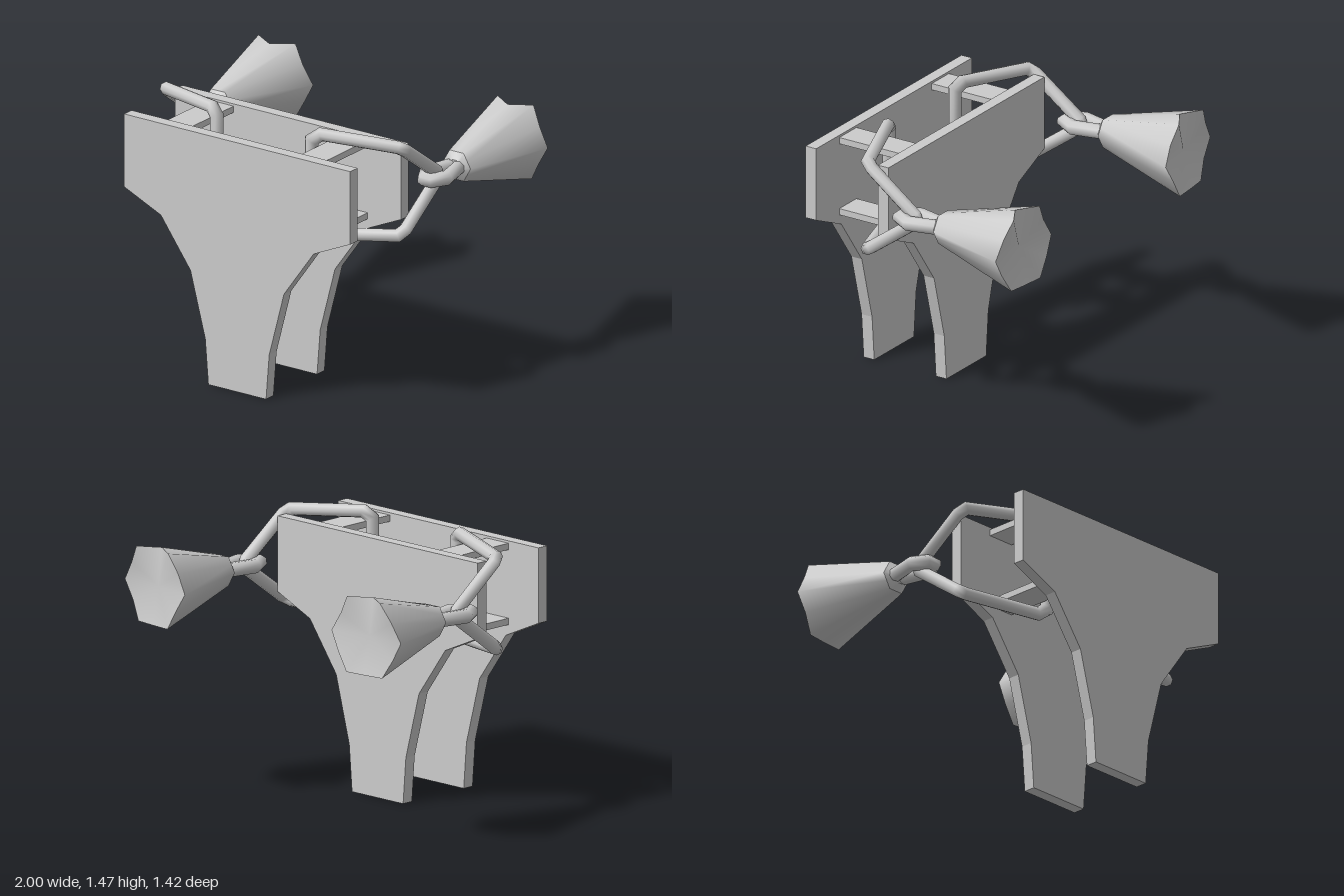
import * as THREE from 'three';

const V = (x, y, z) => new THREE.Vector3(x, y, z);

function indexed(positions, index) {
  const g = new THREE.BufferGeometry();
  g.setAttribute('position', new THREE.Float32BufferAttribute(positions, 3));
  g.setIndex(index);
  g.computeVertexNormals();
  return g;
}

// Joins equal-length rings of points with quads
function skin(rings) {
  const n = rings[0].length, index = [];
  for (let r = 0; r < rings.length - 1; r++) {
    for (let i = 0; i < n; i++) {
      const a = r * n + i, b = r * n + (i + 1) % n;
      index.push(a, b, a + n, b, b + n, a + n);
    }
  }
  return indexed(rings.flat().flatMap(p => p.toArray()), index);
}

// Rod along a polyline, mitred at each bend
function rod(points, radius, sides) {
  const dirs = points.slice(1).map((p, i) => p.clone().sub(points[i]).normalize());
  const u = V(0.3, 0.2, 1).cross(dirs[0]).normalize();
  const v = dirs[0].clone().cross(u);
  let ring = Array.from({ length: sides }, (_, i) => {
    const a = i / sides * Math.PI * 2;
    return points[0].clone().addScaledVector(u, radius * Math.cos(a)).addScaledVector(v, radius * Math.sin(a));
  });
  const rings = [ring];
  for (let k = 1; k < points.length; k++) {
    const d = dirs[k - 1];
    const n = d.clone().add(dirs[k] || d).normalize();
    ring = ring.map(p => p.clone().addScaledVector(d, points[k].clone().sub(p).dot(n) / d.dot(n)));
    rings.push(ring);
  }
  return skin(rings);
}

// Mirrors across x = 0 and keeps faces pointing outwards
function mirrored(g) {
  const m = g.clone().scale(-1, 1, 1);
  m.setIndex(Array.from(g.index.array).reverse());
  m.computeVertexNormals();
  return m;
}

export function createModel() {
  const model = new THREE.Group();
  model.name = 'model';
  const mat = new THREE.MeshStandardMaterial({ color: 0xcccccc, side: THREE.DoubleSide });
  const add = (geo, name) => {
    const mesh = new THREE.Mesh(geo, mat);
    mesh.name = name;
    model.add(mesh);
  };

  // Two tapering plates
  const half = [[0.185, 0], [0.205, 0.25], [0.3, 0.61], [0.49, 0.875], [0.725, 0.98], [0.725, 1.385]];
  const outline = [...half, ...half.map(([x, y]) => [-x, y]).reverse()];
  const shape = new THREE.Shape(outline.map(([x, y]) => new THREE.Vector2(x, y)));
  for (const [name, z] of [['frontPlate', 0.645], ['backPlate', 0.192]]) {
    add(new THREE.ExtrudeGeometry(shape, { depth: 0.066, bevelEnabled: false }).translate(0, 0, z), name);
  }

  // Straps between the plates
  for (const x of [-0.43, 0.43]) {
    for (const [name, y] of [['upperStrap', 1.355], ['lowerStrap', 0.953]]) {
      add(new THREE.BoxGeometry(0.16, 0.035, 0.39).translate(x, y, 0.452), name);
    }
  }

  // Bent loop: upper half, then its reflection about the mid height
  const cx = 0.765, cy = 1.155;
  const upper = [V(cx, cy, -0.01), V(cx, 1.178, 0.0), V(0.76, 1.375, 0.27), V(0.74, 1.4, 0.31),
    V(0.35, 1.43, 0.45), V(0.305, 1.395, 0.47)];
  const lower = upper.map(p => V(p.x, 2 * cy - p.y, p.z)).reverse();
  const loop = rod([...upper, ...lower], 0.036, 8);

  // Link holding the loop to the thruster
  const link = rod([V(cx - 0.012, cy, -0.19), V(cx - 0.03, cy, -0.14), V(cx - 0.064, cy, 0),
    V(cx - 0.02, cy, 0.075), V(cx + 0.02, cy, 0.075), V(cx + 0.064, cy, 0),
    V(cx + 0.03, cy, -0.14), V(cx + 0.012, cy, -0.19)], 0.039, 8);

  // Flared six-sided cone with an uneven rim; every second point is a corner
  const rimZ = [-0.665, -0.675, -0.7, -0.63, -0.705, -0.69, -0.7, -0.71, -0.71, -0.7, -0.685, -0.665];
  const hexRing = (radius, z) => rimZ.map((rz, i) => {
    const a = -i * Math.PI / 6, r = radius * (i % 2 ? Math.cos(Math.PI / 6) : 1);
    return V(cx + r * Math.cos(a), cy - r * Math.sin(a), z ?? rz);
  });
  const rim = hexRing(0.234);
  const neck = hexRing(0.09, -0.178);
  const cone = skin([rim, neck].reverse().map(r => [...r].reverse()));
  const collar = skin([hexRing(0.048, -0.15), neck].map(r => [...r].reverse()));
  const fan = (ring, center, flip) => {
    const index = [];
    ring.forEach((_, i) => {
      const a = i + 1, b = (i + 1) % ring.length + 1;
      index.push(0, ...(flip ? [b, a] : [a, b]));
    });
    return indexed([center, ...ring].flatMap(p => p.toArray()), index);
  };
  const coneEnd = fan(rim, V(cx, cy, -0.655), true);
  const collarEnd = fan(hexRing(0.048, -0.15), V(cx, cy, -0.15), false);

  const parts = { Loop: loop, Link: link, Cone: cone, Collar: collar, ConeEnd: coneEnd, CollarEnd: collarEnd };
  for (const [name, geo] of Object.entries(parts)) {
    add(geo, 'left' + name);
    add(mirrored(geo), 'right' + name);
  }
  return model;
}
